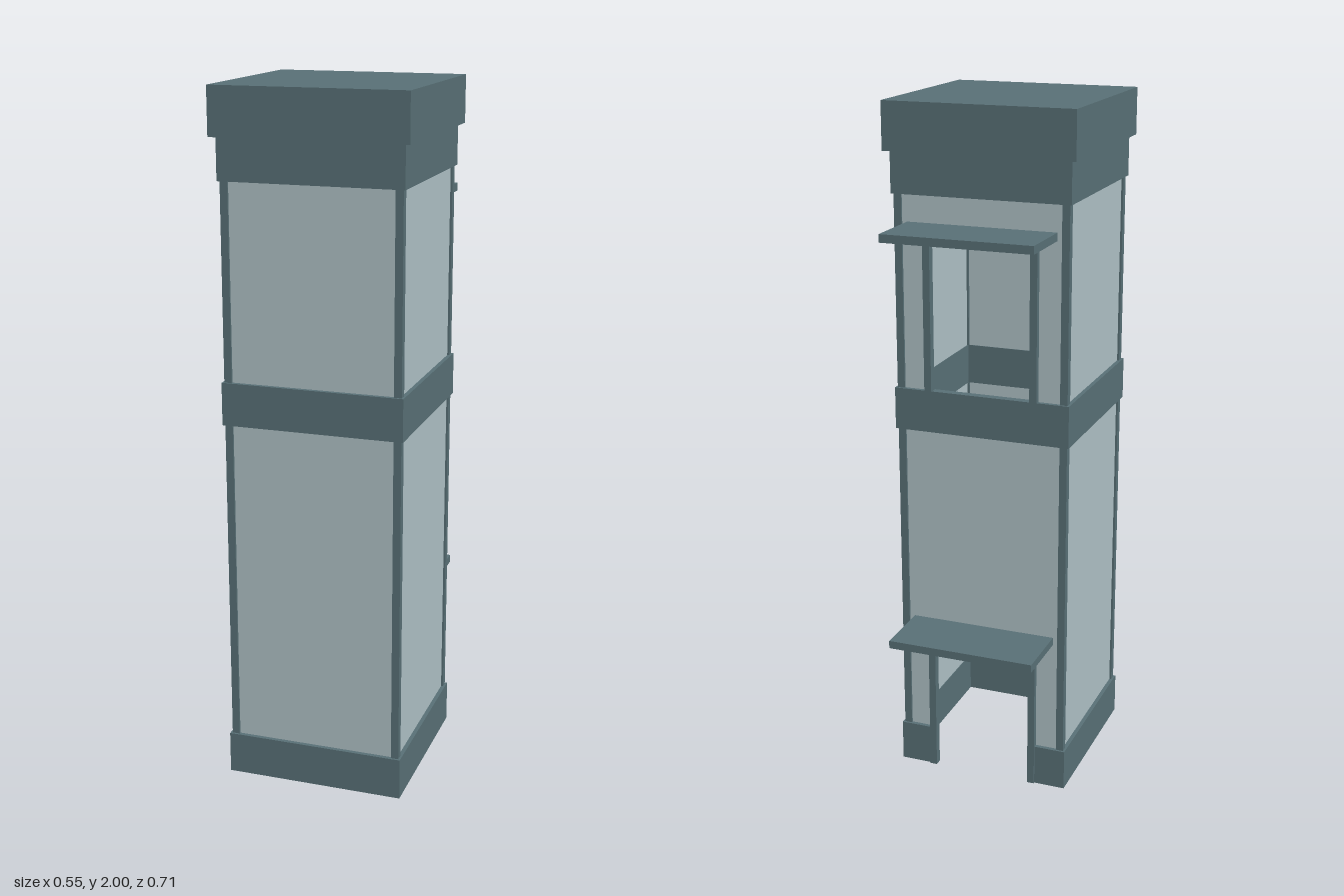
import * as THREE from 'three';

export function createModel() {
  const model = new THREE.Group();
  const frame = new THREE.MeshStandardMaterial({ color: 0x5a7278 });
  frame.name = 'slate frame';
  const glass = new THREE.MeshStandardMaterial({ color: 0xb2c4c9 });
  glass.name = 'pale glass';

  const CZ = 0.079; // shaft centre in z

  // box given by its limits
  function box(name, mat, x0, x1, y0, y1, z0, z1, parent = model) {
    const mesh = new THREE.Mesh(new THREE.BoxGeometry(x1 - x0, y1 - y0, z1 - z0), mat);
    mesh.position.set((x0 + x1) / 2, (y0 + y1) / 2, (z0 + z1) / 2);
    mesh.name = name;
    parent.add(mesh);
  }

  // hollow square band; an optional doorway splits its back side
  function band(name, y0, y1, door = 0) {
    const g = new THREE.Group();
    g.name = name;
    const h = 0.261, t = 0.024, i = h - t;
    for (const s of [-1, 1]) {
      const a = s < 0 ? -h : i;
      box('bandSide', frame, a, a + t, y0, y1, CZ - h, CZ + h, g);
    }
    box('bandFront', frame, -i, i, y0, y1, CZ + i, CZ + h, g);
    if (door) {
      box('bandBackLeft', frame, door, i, y0, y1, CZ - h, CZ - i, g);
      box('bandBackRight', frame, -i, -door, y0, y1, CZ - h, CZ - i, g);
    } else box('bandBack', frame, -i, i, y0, y1, CZ - h, CZ - i, g);
    model.add(g);
  }

  band('baseBand', 0, 0.122, 0.155);
  band('middleBand', 1.072, 1.194);
  band('topBand', 1.748, 1.865);
  box('roofCap', frame, -0.277, 0.277, 1.865, 2, CZ - 0.277, CZ + 0.277);

  // each storey: wall bottom, wall top, door foot, door head
  const storeys = [[0.122, 1.072, 0, 0.46], [1.194, 1.748, 1.194, 1.648]];
  const P = 0.255, W = 0.022, G = 0.249, T = 0.01;
  for (const [y0, y1, foot, head] of storeys) {
    // corner posts
    for (const sx of [-1, 1]) for (const sz of [-1, 1]) {
      const x = sx < 0 ? -P : P - W;
      const z = CZ + (sz < 0 ? -P : P - W);
      box('cornerPost', frame, x, x + W, y0, y1, z, z + W);
    }
    // glass walls
    const e = P - W;
    box('glassFront', glass, -e, e, y0, y1, CZ + G - T, CZ + G);
    box('glassLeft', glass, G - T, G, y0, y1, CZ - e, CZ + e);
    box('glassRight', glass, -G, T - G, y0, y1, CZ - e, CZ + e);

    // back glass with a doorway notch
    const d = 0.155;
    const shape = new THREE.Shape([
      [-e, y0], [-d, y0], [-d, head], [d, head], [d, y0], [e, y0], [e, y1], [-e, y1],
    ].map(([x, y]) => new THREE.Vector2(x, y)));
    const back = new THREE.Mesh(
      new THREE.ExtrudeGeometry(shape, { depth: T, bevelEnabled: false }), glass);
    back.position.z = CZ - G;
    back.name = 'glassBack';
    model.add(back);

    // door jambs and canopy
    box('doorJambLeft', frame, 0.147, 0.168, foot, head, -0.187, -0.164);
    box('doorJambRight', frame, -0.168, -0.147, foot, head, -0.187, -0.164);
    box('doorCanopy', frame, -0.218, 0.218, head, head + 0.023, -0.356, -0.168);
  }
  return model;
}
